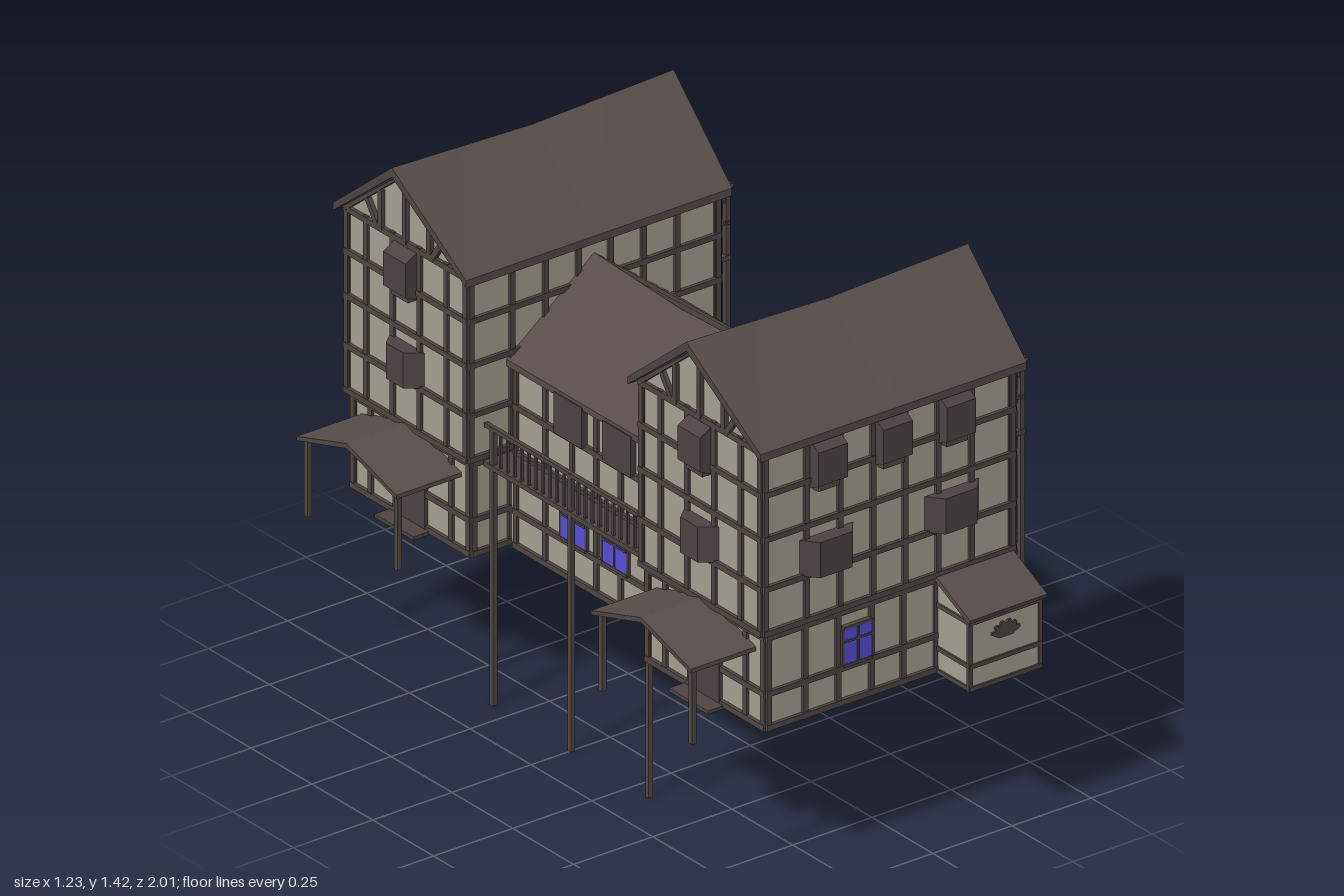
import * as THREE from 'three';

const mat = (name, hex) => {
  const m = new THREE.MeshStandardMaterial({ color: hex, side: THREE.DoubleSide });
  m.name = name;
  return m;
};
const M = {
  plaster: mat('plaster', 0xa39e91),
  timber: mat('timber', 0x4e4542),
  roof: mat('roof', 0x574c49),
  panel: mat('panel', 0x4d4242),
  glass: mat('glass', 0x564cd6),
};

function add(parent, name, geo, material, x = 0, y = 0, z = 0) {
  const m = new THREE.Mesh(geo, material);
  m.name = name;
  m.position.set(x, y, z);
  parent.add(m);
  return m;
}
// Box given by its extents
const box = (p, name, m, x0, x1, y0, y1, z0, z1) =>
  add(p, name, new THREE.BoxGeometry(x1 - x0, y1 - y0, z1 - z0), m, (x0 + x1) / 2, (y0 + y1) / 2, (z0 + z1) / 2);
const post = (p, name, x, z, y0, y1, w = 0.014) =>
  box(p, name, M.timber, x - w / 2, x + w / 2, y0, y1, z - w / 2, z + w / 2);

// Straight timber between two points of a facade
function strut(p, name, x0, y0, x1, y1, z = 0, w = 0.016) {
  const m = add(p, name, new THREE.BoxGeometry(Math.hypot(x1 - x0, y1 - y0), w, 0.024), M.timber, (x0 + x1) / 2, (y0 + y1) / 2, z);
  m.rotation.z = Math.atan2(y1 - y0, x1 - x0);
}

// Hollow rectangular storey, open above and below
function shell(p, name, cx, cz, w, d, y0, y1) {
  const rect = (s, a, b) => s.moveTo(-a, -b).lineTo(a, -b).lineTo(a, b).lineTo(-a, b).closePath();
  const shape = rect(new THREE.Shape(), w / 2, d / 2);
  shape.holes.push(rect(new THREE.Path(), w / 2 - 0.01, d / 2 - 0.01));
  const g = new THREE.ExtrudeGeometry(shape, { depth: y1 - y0, bevelEnabled: false });
  g.rotateX(-Math.PI / 2);
  add(p, name, g, M.plaster, cx, y0, cz);
}

// Gable roof along x with a sagging ridge; the end edges are timber
function gableRoof(p, name, cx, cz, ridgeHalf, eaveHalf, halfW, eaveY, ridgeY, sag = 0, t = 0.018) {
  const stations = [-1, -0.5, 0, 0.5, 1].map((k) => {
    const r = ridgeY - sag * (1 - Math.abs(k));
    return [[halfW, eaveY], [0, r], [-halfW, eaveY], [-halfW, eaveY - t], [0, r - t * 1.2], [halfW, eaveY - t]]
      .map(([z, y]) => [k * (z === 0 ? ridgeHalf : eaveHalf), y, z]);
  });
  const pos = [];
  const quad = (a, b, c, d) => pos.push(...a, ...b, ...c, ...a, ...c, ...d);
  for (let i = 0; i < 4; i++)
    for (let j = 0; j < 6; j++) {
      const k = (j + 1) % 6;
      quad(stations[i][j], stations[i + 1][j], stations[i + 1][k], stations[i][k]);
    }
  const sides = pos.length / 3;
  const [a, b] = [stations[0], stations[4]];
  quad(a[0], a[1], a[4], a[5]);
  quad(a[1], a[2], a[3], a[4]);
  quad(b[5], b[4], b[1], b[0]);
  quad(b[4], b[3], b[2], b[1]);
  const g = new THREE.BufferGeometry();
  g.setAttribute('position', new THREE.Float32BufferAttribute(pos, 3));
  g.computeVertexNormals();
  g.addGroup(0, sides, 0);
  g.addGroup(sides, pos.length / 3 - sides, 1);
  add(p, name, g, [M.roof, M.timber], cx, 0, cz);
}

// Facade frame: local x runs along the wall, local z points outwards
function facade(p, name, x, z, rot) {
  const g = new THREE.Group();
  g.name = name;
  g.position.set(x, 0, z);
  g.rotation.y = rot;
  p.add(g);
  return g;
}
function timbers(f, half, us, ys, y0, y1, w = 0.016) {
  for (const u of [-half, ...us, half]) box(f, 'stud', M.timber, u - w / 2, u + w / 2, y0, y1, -0.016, 0.008);
  for (const y of ys) box(f, 'rail', M.timber, -half - 0.008, half + 0.008, y - w / 2, y + w / 2, -0.018, 0.01);
}
function windowAt(f, u, y, w = 0.09, h = 0.1) {
  box(f, 'windowGlass', M.glass, u - w / 2, u + w / 2, y - h / 2, y + h / 2, -0.014, 0.012);
  box(f, 'windowMullion', M.timber, u - 0.003, u + 0.003, y - h / 2, y + h / 2, 0.009, 0.015);
  box(f, 'windowBar', M.timber, u - w / 2, u + w / 2, y + 0.012, y + 0.018, 0.009, 0.015);
  for (const s of [-1, 1]) {
    post(f, 'windowJamb', u + s * (w / 2 + 0.003), 0.009, y - h / 2, y + h / 2, 0.008);
    const v = y + s * (h / 2 + 0.003);
    box(f, 'windowSill', M.timber, u - w / 2, u + w / 2, v - 0.004, v + 0.004, 0, 0.014);
  }
}
// Shuttered bay with chamfered sides
function shutterBay(f, u, y, w = 0.17, h = 0.1) {
  const s = new THREE.Shape().moveTo(-w / 2, 0).lineTo(w / 2, 0).lineTo(w / 2 - 0.035, -0.042).lineTo(0.035 - w / 2, -0.042).closePath();
  const g = new THREE.ExtrudeGeometry(s, { depth: h, bevelEnabled: false });
  g.rotateX(-Math.PI / 2);
  add(f, 'shutterBay', g, M.panel, u, y - h / 2, 0);
}
// Hanging oriel with tapered foot and sloped top
function oriel(f, u) {
  const s = new THREE.Shape().moveTo(0, 1.055).lineTo(0.042, 1.075).lineTo(0.042, 1.17).lineTo(0, 1.195).closePath();
  const g = new THREE.ExtrudeGeometry(s, { depth: 0.092, bevelEnabled: false });
  g.rotateY(-Math.PI / 2);
  g.translate(0.046, 0, 0);
  add(f, 'oriel', g, M.panel, u, 0, 0);
  box(f, 'orielFoot', M.timber, u - 0.034, u + 0.034, 1.05, 1.07, 0, 0.025);
}

function wing(root, s) {
  const g = new THREE.Group();
  g.name = s > 0 ? 'frontWing' : 'backWing';
  root.add(g);
  const cx = -0.03, cz = 0.605 * s;
  shell(g, 'lowerWalls', cx, cz, 0.76, 0.485, 0.41, 0.685);
  shell(g, 'upperWalls', cx, cz, 0.79, 0.5, 0.685, 1.21);
  gableRoof(g, 'wingRoof', cx, cz, 0.445, 0.42, 0.273, 1.21, 1.425, 0.015, 0.022);

  // Timber frame on all four sides
  const gable = new THREE.Shape().moveTo(-0.25, 1.2).lineTo(0.25, 1.2).lineTo(0, 1.4).closePath();
  const upperRails = [0.69, 0.815, 0.955, 1.08, 1.2], lowerRails = [0.42, 0.515, 0.672];
  const rotOut = s > 0 ? 0 : Math.PI;
  const outer = facade(g, 'outerFacade', cx, cz + s * 0.25, rotOut);
  const outerLow = facade(g, 'outerLowerFacade', cx, cz + s * 0.2425, rotOut);
  const inner = facade(g, 'innerFacade', cx, cz - s * 0.25, Math.PI - rotOut);
  const innerLow = facade(g, 'innerLowerFacade', cx, cz - s * 0.2425, Math.PI - rotOut);
  const longStuds = [-0.26, -0.155, -0.05, 0.05, 0.155, 0.26];
  for (const f of [outer, inner]) timbers(f, 0.39, longStuds, upperRails, 0.685, 1.21);
  for (const f of [outerLow, innerLow]) timbers(f, 0.375, longStuds, lowerRails, 0.41, 0.685);
  const ends = [-1, 1].map((e) => {
    const f = facade(g, e > 0 ? 'leftGable' : 'rightGable', cx + e * 0.395, cz, e * Math.PI / 2);
    const low = facade(g, 'lowerEndFacade', cx + e * 0.38, cz, e * Math.PI / 2);
    timbers(f, 0.245, [-0.165, -0.055, 0.055, 0.165], upperRails, 0.685, 1.21);
    timbers(low, 0.237, [-0.165, -0.04, 0.04, 0.165], lowerRails, 0.41, 0.685);
    add(f, 'gableInfill', new THREE.ExtrudeGeometry(gable, { depth: 0.01, bevelEnabled: false }), M.plaster, 0, 0, -0.01);
    for (const [u, top] of [[-0.1, 1.31], [0, 1.39], [0.1, 1.31]]) strut(f, 'gableStud', u, 1.2, u, top);
    for (const k of [-1, 1]) {
      strut(f, 'gableBrace', k * 0.155, 1.265, k * 0.11, 1.2);
      strut(f, 'gableRafter', k * 0.25, 1.2, 0, 1.4);
    }
    return { f, low };
  });

  // Bays and windows on the outer long side
  for (const x of [-0.235, -0.03, 0.17]) oriel(outer, s * (x - cx));
  for (const x of [-0.225, 0.17]) shutterBay(outer, s * (x - cx), 0.867);
  windowAt(outerLow, s * (-0.128 - cx), 0.575);

  // Lean-to store with a fan ornament
  const lean = facade(g, 'leanTo', 0.237, s * 0.85, rotOut);
  const prof = new THREE.Shape().moveTo(0, 0.41).lineTo(-0.138, 0.41).lineTo(-0.138, 0.605).lineTo(0, 0.67).closePath();
  const body = new THREE.ExtrudeGeometry(prof, { depth: 0.22, bevelEnabled: false });
  body.rotateY(Math.PI / 2);
  add(lean, 'leanToWalls', body, M.plaster, -0.11, 0, 0);
  const cover = box(lean, 'leanToRoof', M.roof, -0.122, 0.122, 0.642, 0.656, -0.01, 0.159);
  cover.rotation.x = Math.atan2(0.07, 0.145);
  for (const y of [0.417, 0.48, 0.602]) box(lean, 'leanToRail', M.timber, -0.115, 0.115, y - 0.006, y + 0.006, 0.002, 0.143);
  for (const u of [-0.11, 0.11]) post(lean, 'leanToCorner', u, 0.136, 0.41, 0.61, 0.012);
  const fan = new THREE.Shape().moveTo(-0.02, 0);
  for (let i = 0; i <= 18; i++) {
    const a = Math.PI * (1 - i / 18), r = i % 3 === 0 ? 0.036 : 0.046;
    fan.lineTo(Math.cos(a) * r, 0.008 + Math.sin(a) * r * 0.8);
  }
  fan.lineTo(0.02, 0);
  add(lean, 'fanOrnament', new THREE.ExtrudeGeometry(fan, { depth: 0.006, bevelEnabled: false }), M.panel, 0, 0.535, 0.138);

  // Right end: oriel, shutters and a sheltered door
  oriel(ends[0].f, 0);
  shutterBay(ends[0].f, 0, 0.867, 0.14);
  box(ends[0].low, 'sideDoor', M.panel, -0.065, 0.065, 0.42, 0.61, 0, 0.012);
  box(ends[0].low, 'doorStep', M.timber, -0.08, 0.08, 0.408, 0.418, 0, 0.058);
  gableRoof(g, 'sideCanopy', -0.515, cz, 0.103, 0.103, 0.205, 0.632, 0.695, 0, 0.012);
  for (const k of [-1, 1]) post(g, 'sideCanopyPost', -0.597, cz + k * 0.185, 0.41, 0.63);

  // Left end: windows, shutters and a roofed balcony
  for (const u of [-0.1, 0.1]) windowAt(ends[1].low, u, 0.58);
  shutterBay(ends[1].f, 0, 0.867, 0.16);
  box(ends[1].f, 'balconyDoor', M.panel, -0.07, 0.07, 0.96, 1.15, 0, 0.012);
  const b = facade(g, 'balcony', 0.365, cz, Math.PI / 2);
  box(b, 'balconyFloor', M.timber, -0.175, 0.175, 0.947, 0.961, 0, 0.097);
  box(b, 'balconyHandrail', M.timber, -0.175, 0.175, 1.047, 1.057, 0.085, 0.095);
  for (let i = -5; i <= 5; i++) post(b, 'baluster', i * 0.028, 0.09, 0.96, 1.05, 0.007);
  const awning = box(b, 'balconyRoof', M.roof, -0.177, 0.177, 1.17, 1.182, -0.005, 0.108);
  awning.rotation.x = 0.42;
  for (const u of [-0.165, 0.165]) {
    post(b, 'balconyPost', u, 0.09, 0.273, 1.16);
    box(b, 'balconySideRail', M.timber, u - 0.005, u + 0.005, 1.047, 1.057, 0, 0.09);
    post(b, 'baluster', u, 0.045, 0.96, 1.05, 0.007);
    const arch = add(b, 'balconyArch', new THREE.TorusGeometry(0.04, 0.005, 4, 8, Math.PI), M.timber, u, 1.105, 0.045);
    arch.rotation.y = Math.PI / 2;
  }
}

function hall(root) {
  const g = new THREE.Group();
  g.name = 'middleHall';
  root.add(g);
  shell(g, 'hallWalls', -0.03, 0, 0.52, 0.72, 0.41, 0.945);
  // Roof turned so its ridge runs between the wings
  const r = facade(g, 'hallRoofFrame', -0.028, 0, Math.PI / 2);
  gableRoof(r, 'hallRoof', 0, 0, 0.355, 0.355, 0.277, 0.935, 1.15, 0.015);

  const studs = [-0.21, -0.1, 0, 0.1, 0.21], rails = [0.42, 0.515, 0.68, 0.81, 0.93];
  const front = facade(g, 'hallLeftFacade', 0.23, 0, Math.PI / 2);
  const back = facade(g, 'hallRightFacade', -0.29, 0, -Math.PI / 2);
  for (const f of [front, back]) {
    timbers(f, 0.33, studs, rails, 0.41, 0.94);
    for (const u of [-0.1, 0.1]) box(f, 'hallShutter', M.panel, u - 0.058, u + 0.058, 0.81, 0.925, 0, 0.018);
  }
  for (const u of [-0.085, 0.085]) windowAt(back, u, 0.575, 0.1);

  // Double door under a gabled canopy
  box(front, 'mainDoor', M.panel, -0.122, 0.122, 0.415, 0.635, 0, 0.018);
  box(front, 'doorSeam', M.timber, -0.002, 0.002, 0.415, 0.635, 0.015, 0.02);
  for (const u of [-0.01, 0.01]) box(front, 'doorHandle', M.timber, u - 0.004, u + 0.004, 0.505, 0.52, 0.018, 0.026);
  gableRoof(g, 'mainCanopy', 0.425, 0, 0.188, 0.188, 0.207, 0.632, 0.695, 0, 0.012);
  for (const z of [-0.19, 0.19]) for (const x of [0.39, 0.592]) post(g, 'mainCanopyPost', x, z, 0.41, 0.63);
  const arch = add(front, 'canopyArch', new THREE.TorusGeometry(0.185, 0.007, 4, 14, Math.PI), M.timber, 0, 0.62, 0.36);
  arch.scale.y = 0.28;

  // Raised gallery on tall posts
  box(g, 'galleryFloor', M.timber, -0.382, -0.285, 0.662, 0.676, -0.35, 0.35);
  box(g, 'galleryHandrail', M.timber, -0.379, -0.367, 0.77, 0.782, -0.35, 0.35);
  for (let i = -11; i <= 11; i++) post(g, 'galleryBaluster', -0.373, i * 0.029, 0.67, 0.775, 0.007);
  for (const z of [-0.32, 0, 0.32]) post(g, 'galleryPost', -0.373, z, 0, 0.78);
}

export function createModel() {
  const root = new THREE.Group();
  root.name = 'timberFramedHouse';
  wing(root, 1);
  wing(root, -1);
  hall(root);
  return root;
}
